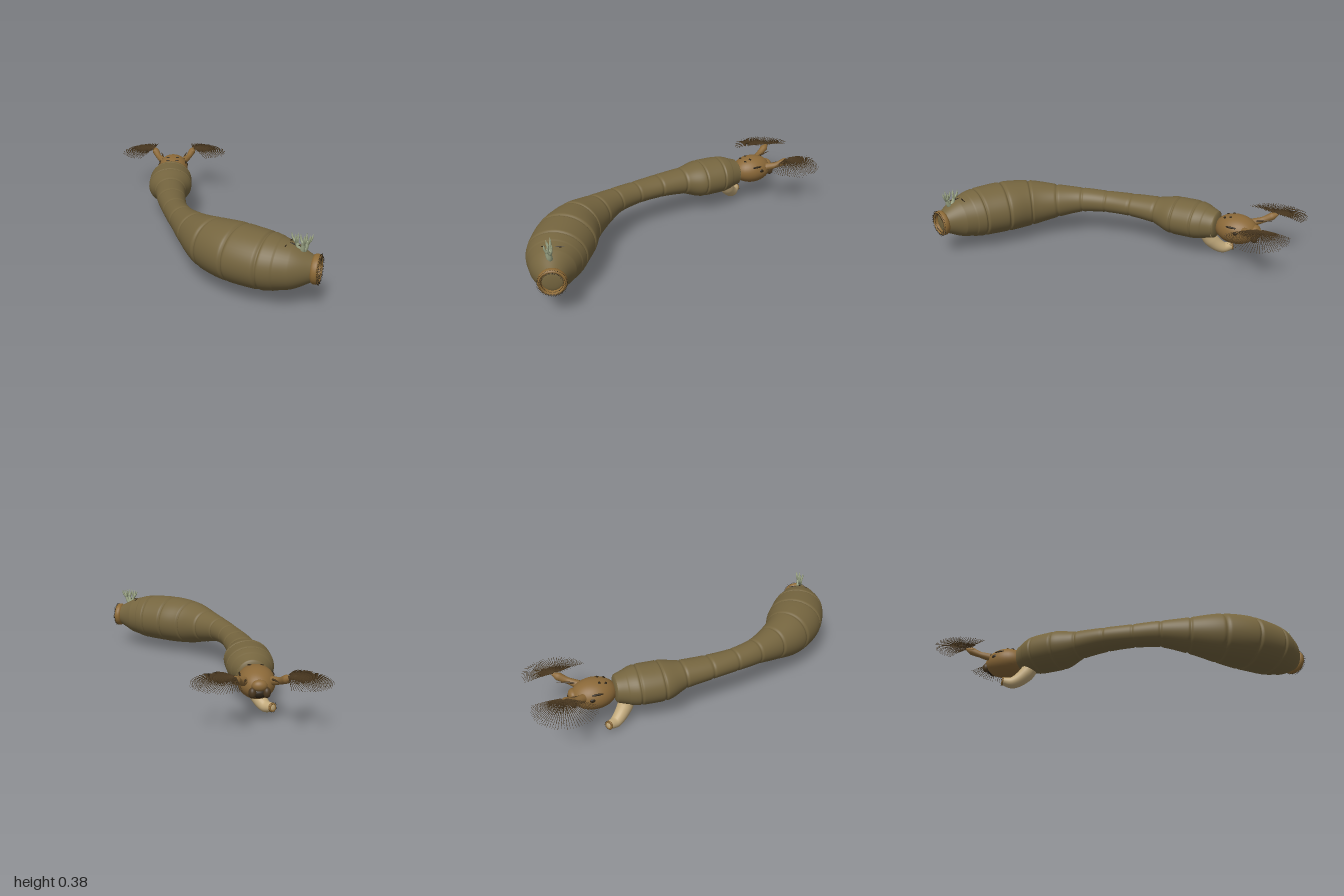
import * as THREE from 'three';
import { mergeGeometries } from 'three/addons/utils/BufferGeometryUtils.js';

const V = (x, y, z) => new THREE.Vector3(x, y, z);
const mat = (color) => new THREE.MeshStandardMaterial({ color, side: THREE.DoubleSide });
const SKIN = mat(0x75653f), HEAD = mat(0x8a6838), DARK = mat(0x2e2416), TAN = mat(0xc2aa7c),
  HAIR = mat(0x4a3820), HOOK = mat(0x8d6a36), GILL = mat(0x9aa384);

function add(parent, name, geometry, material, pos) {
  const m = new THREE.Mesh(geometry, material);
  m.name = name;
  if (pos) m.position.copy(pos);
  parent.add(m);
  return m;
}

// Sweep an ellipse along a curve; radius(t) gives [across, up]
function sweep(curve, radius, steps, sides, up = V(0, 1, 0)) {
  const pos = [], idx = [];
  for (let i = 0; i <= steps; i++) {
    const t = i / steps, c = curve.getPoint(t), tan = curve.getTangent(t);
    const across = up.clone().cross(tan).normalize(), top = tan.clone().cross(across);
    const [a, b] = radius(t);
    for (let j = 0; j < sides; j++) {
      const q = (j / sides) * Math.PI * 2;
      const p = c.clone().addScaledVector(across, a * Math.cos(q)).addScaledVector(top, b * Math.sin(q));
      pos.push(p.x, p.y, p.z);
      if (i < steps) {
        const k = (j + 1) % sides, A = i * sides + j, B = i * sides + k;
        idx.push(A, B, A + sides, B, B + sides, A + sides);
      }
    }
  }
  const g = new THREE.BufferGeometry();
  g.setAttribute('position', new THREE.Float32BufferAttribute(pos, 3));
  g.setIndex(idx);
  g.computeVertexNormals();
  return g;
}

// Round limb through points, with a list of radii spread along it
function limb(points, radii, steps = 16, sides = 14, up) {
  const curve = new THREE.CatmullRomCurve3(points);
  const rad = (t) => {
    const f = t * (radii.length - 1), i = Math.min(Math.floor(f), radii.length - 2);
    const r = radii[i] + (radii[i + 1] - radii[i]) * (f - i);
    return [r, r];
  };
  return sweep(curve, rad, steps, sides, up);
}

// Small cone from a point along a direction
function spike(from, dir, len, r, sides = 3) {
  const d = dir.clone().normalize();
  const g = new THREE.ConeGeometry(r, len, sides, 1, true);
  g.applyQuaternion(new THREE.Quaternion().setFromUnitVectors(V(0, 1, 0), d));
  const c = from.clone().addScaledVector(d, len / 2);
  return g.translate(c.x, c.y, c.z);
}

function ball(parent, name, material, pos, sx, sy, sz) {
  const m = add(parent, name, new THREE.SphereGeometry(1, 32, 24), material, pos);
  m.scale.set(sx, sy, sz);
  return m;
}

// Segment borders from neck to tail: x, y, z, half width, half height
const STATIONS = [
  [-0.21, 0.21, -0.52, 0.083, 0.08], [-0.215, 0.215, -0.4, 0.128, 0.108], [-0.215, 0.215, -0.27, 0.13, 0.108],
  [-0.208, 0.225, -0.14, 0.09, 0.078], [-0.193, 0.23, 0.025, 0.08, 0.066], [-0.165, 0.23, 0.185, 0.07, 0.065],
  [-0.12, 0.23, 0.33, 0.075, 0.073], [-0.05, 0.222, 0.47, 0.103, 0.1], [0.045, 0.215, 0.615, 0.142, 0.137],
  [0.17, 0.215, 0.725, 0.168, 0.147], [0.305, 0.212, 0.815, 0.16, 0.142],
  [0.425, 0.21, 0.872, 0.118, 0.115], [0.515, 0.21, 0.903, 0.062, 0.066],
];

function buildBody(root) {
  const n = STATIONS.length - 1;
  const spine = new THREE.CatmullRomCurve3(STATIONS.map((s) => V(s[0], s[1], s[2])));
  const sizes = new THREE.CatmullRomCurve3(STATIONS.map((s) => V(s[3], s[4], 0)));
  const radius = (t) => {
    const f = t * n, near = Math.round(f), d = f - near, s = sizes.getPoint(t);
    const grooved = near > 0 && near < n - 1;
    const k = 1 + (grooved ? 0.015 - 0.06 * Math.exp(-((d / 0.045) ** 2)) : 0);
    return [s.x * k, s.y * k];
  };
  add(root, 'segmentedBody', sweep(spine, radius, n * 32, 48), SKIN);
  ball(root, 'neck', SKIN, V(-0.21, 0.21, -0.52), 0.082, 0.079, 0.02);
}

// Hook ring at the tail
function buildTail(root) {
  const tail = new THREE.Group();
  tail.name = 'tailHookRing';
  tail.position.set(0.532, 0.21, 0.908);
  tail.quaternion.setFromUnitVectors(V(0, 1, 0), V(0.94, 0, 0.34).normalize());
  root.add(tail);
  const rim = [[0.058, -0.022], [0.069, -0.018], [0.074, -0.008], [0.074, 0.006], [0.07, 0.015], [0.062, 0.018], [0.056, 0.01], [0.053, -0.006]];
  add(tail, 'rim', new THREE.LatheGeometry(rim.map((p) => new THREE.Vector2(...p)), 48), HOOK);
  ball(tail, 'tailDisc', SKIN, V(0, -0.008, 0), 0.055, 0.01, 0.055);
  const hooks = [];
  for (let i = 0; i < 56; i++) {
    const a = (i / 56) * Math.PI * 2, out = V(Math.cos(a), 0, Math.sin(a));
    for (const [r, y, lift] of [[0.07, 0.012, 0.8], [0.062, 0.016, 2], [0.056, 0.008, -2]])
      hooks.push(spike(out.clone().multiplyScalar(r).setY(y), out.clone().multiplyScalar(lift < 0 ? -1 : 1).setY(Math.abs(lift)), 0.011, 0.0022));
  }
  add(tail, 'hooks', mergeGeometries(hooks), DARK);
}

// Pale branching gills and the dark cross in front of them
function buildGills(root) {
  const base = V(0.46, 0.285, 0.89), side = V(0, 0, 1), parts = [];
  for (const [dx, dz] of [[-0.035, -0.008], [0.005, 0.015], [0.035, 0.005]]) {
    const mid = V(base.x + dx * 0.7, 0.335, base.z + dz);
    parts.push(limb([base, V(base.x + dx * 0.45, 0.31, base.z + dz * 0.6), mid], [0.014, 0.012, 0.009], 10, 10, side));
    for (const [ex, ez] of [[-0.014, -0.012], [0.001, 0.013], [0.015, -0.004]])
      parts.push(limb([mid, V(mid.x + dx * 0.2 + ex * 0.8, 0.358, mid.z + ez * 0.8), V(mid.x + dx * 0.3 + ex, 0.386, mid.z + ez)],
        [0.008, 0.006, 0.005, 0.0005], 10, 8, side));
  }
  add(root, 'gills', mergeGeometries(parts), GILL);
  for (const [a, b] of [[V(0.355, 0.329, 0.835), V(0.46, 0.324, 0.9)], [V(0.375, 0.326, 0.91), V(0.43, 0.327, 0.805)]])
    add(root, 'crossMark', limb([a, a.clone().lerp(b, 0.5), b], [0.001, 0.005, 0.005, 0.001], 10, 8), DARK);
}

// Bent leg under the thorax, ending in a crown of hooks
function buildProleg(root) {
  const path = [V(-0.215, 0.16, -0.455), V(-0.235, 0.095, -0.485), V(-0.275, 0.04, -0.545), V(-0.308, 0.046, -0.592)];
  add(root, 'proleg', limb(path, [0.045, 0.044, 0.034, 0.023], 28, 24), TAN);
  const tip = path[3], dir = V(-0.55, 0.12, -0.8).normalize();
  const turn = new THREE.Quaternion().setFromUnitVectors(V(0, 0, 1), dir);
  add(root, 'prolegCrown', new THREE.TorusGeometry(0.019, 0.007, 10, 28), HOOK, tip).quaternion.copy(turn);
  ball(root, 'prolegPad', TAN, tip, 0.02, 0.02, 0.008).quaternion.copy(turn);
  const hooks = [];
  for (let i = 0; i < 22; i++) {
    const a = (i / 22) * Math.PI * 2, out = V(Math.cos(a), Math.sin(a), 0);
    hooks.push(spike(out.clone().multiplyScalar(0.021), out.clone().setZ(1.2), 0.012, 0.002));
  }
  add(root, 'prolegHooks', mergeGeometries(hooks), DARK, tip).quaternion.copy(turn);
}

// Feeding fan: drooping rays with fine barbs, over a shorter inner fan
function fanGeometry(s) {
  const parts = [], o = V(s * 0.128, 0.293, -0.825);
  const row = (count, scale, drop, a0, a1) => {
    for (let i = 0; i < count; i++) {
      const a = a0 + ((a1 - a0) * i) / (count - 1);
      const len = (0.17 + 0.055 * Math.max(0, Math.sin(a))) * scale;
      const at = (r) => V(o.x + s * Math.sin(a) * r, o.y + 0.004 - drop * r * r, o.z - Math.cos(a) * r);
      parts.push(limb([at(0.012), at(len * 0.5), at(len)], [0.0022, 0.0016, 0.0006], 6, 4));
      for (let k = 2; k < 14; k++)
        parts.push(spike(at((len * k) / 14), V(s * Math.cos(a) * 0.5, -1, Math.sin(a) * 0.5), 0.011, 0.0009).toNonIndexed());
    }
  };
  row(40, 1, 0.7, -0.08, 2.66);
  row(22, 0.5, 1.8, 0.1, 2.5);
  return mergeGeometries(parts.map((p) => {
    const g = p.index ? p.toNonIndexed() : p;
    g.deleteAttribute('uv');
    return g;
  }));
}

function buildHead(root) {
  const head = new THREE.Group();
  head.name = 'head';
  head.position.x = -0.2125;
  root.add(head);
  ball(head, 'headCapsule', HEAD, V(0, 0.21, -0.645), 0.098, 0.085, 0.126);
  ball(head, 'upperLip', HEAD, V(0, 0.225, -0.758), 0.04, 0.03, 0.028);
  ball(head, 'mouth', DARK, V(0, 0.185, -0.752), 0.04, 0.026, 0.026);
  for (const s of [-1, 1]) {
    ball(head, 'jaw', HAIR, V(s * 0.036, 0.19, -0.765), 0.02, 0.028, 0.021);
    ball(head, 'eyeStreak', DARK, V(s * 0.085, 0.25, -0.64), 0.006, 0.006, 0.032);
    ball(head, 'eyeSpot', DARK, V(s * 0.092, 0.222, -0.668), 0.007, 0.011, 0.016);
    ball(head, 'crownSpot', DARK, V(s * 0.029, 0.288, -0.617), 0.013, 0.003, 0.008);
    ball(head, 'crownSpot', DARK, V(s * 0.029, 0.279, -0.582), 0.012, 0.003, 0.008);
    add(head, 'antenna', limb([V(s * 0.066, 0.245, -0.72), V(s * 0.075, 0.255, -0.77), V(s * 0.088, 0.262, -0.828)], [0.007, 0.005, 0.001]), HAIR);
    add(head, 'fanStalk', limb([V(s * 0.07, 0.235, -0.715), V(s * 0.102, 0.25, -0.765), V(s * 0.125, 0.275, -0.815), V(s * 0.14, 0.29, -0.845)],
      [0.024, 0.018, 0.023, 0.006], 20), HEAD);
    ball(head, 'fanKnob', HEAD, V(s * 0.125, 0.277, -0.812), 0.022, 0.016, 0.024);
    add(head, 'feedingFan', fanGeometry(s), HAIR);
  }
}

export function createModel() {
  const root = new THREE.Group();
  root.name = 'aquaticLarva';
  [buildBody, buildTail, buildGills, buildProleg, buildHead].forEach((build) => build(root));
  return root;
}
